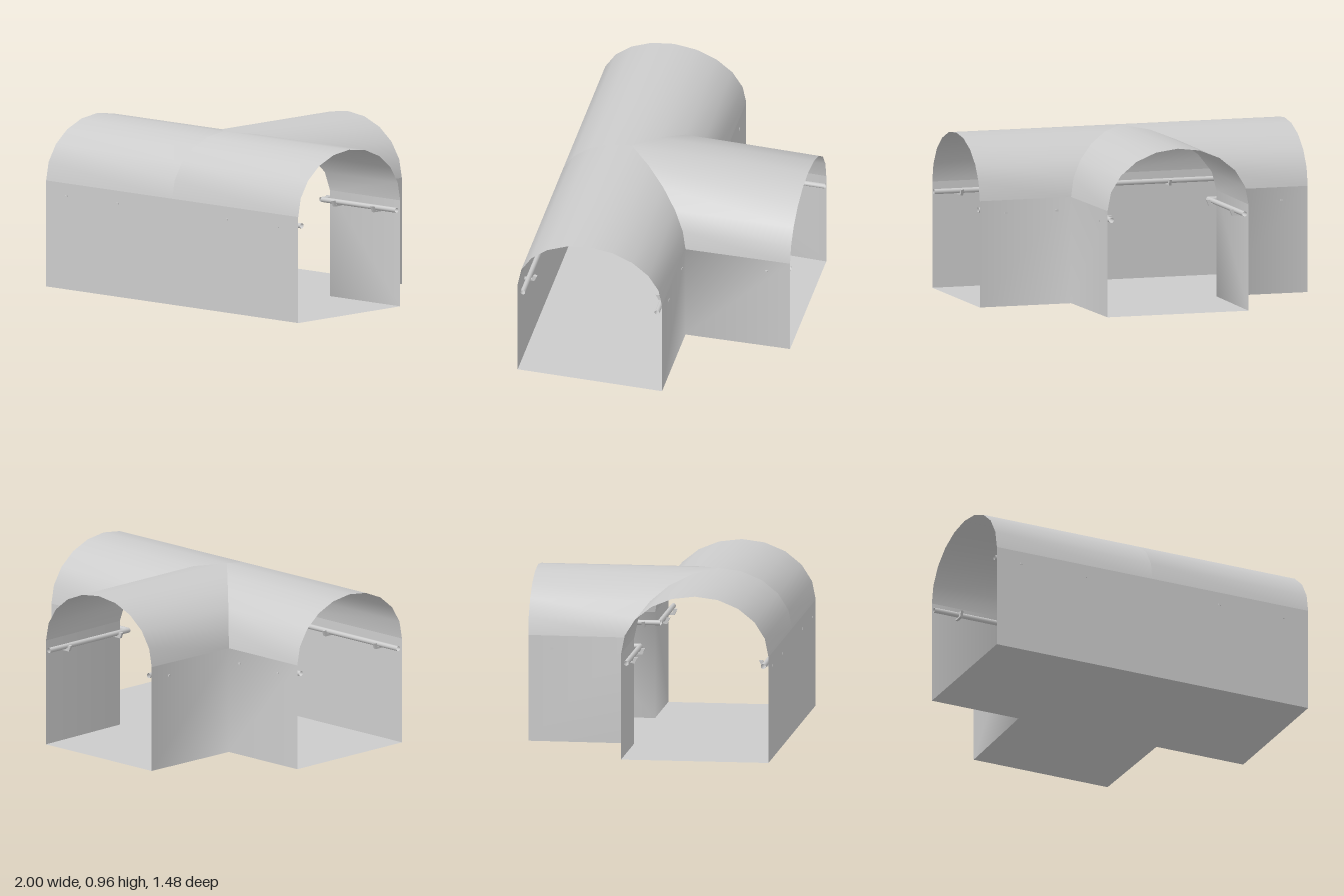
import * as THREE from 'three';

const R = 0.43;          // half width of both tunnels
const WALL = 0.62;       // height where the vault springs
const RISE = 0.345;      // vault height
const CZ = 0.31;         // centre line of the main tunnel
const BACK = CZ - R, FRONT = CZ + R, END = -0.74;
const NECK = 0.443;      // branch half width where it meets the main tunnel
const SEG = 10;

const mat = new THREE.MeshStandardMaterial({ color: 0xcccccc, side: THREE.DoubleSide });

function add(parent, name, geometry) {
  const m = new THREE.Mesh(geometry, mat);
  m.name = name;
  parent.add(m);
  return m;
}

// Ruled surface between two rows of points
function strip(a, b) {
  const index = [];
  const n = a.length;
  for (let i = 0; i < n - 1; i++) index.push(i, n + i, i + 1, i + 1, n + i, n + i + 1);
  const g = new THREE.BufferGeometry();
  g.setAttribute('position', new THREE.Float32BufferAttribute([...a, ...b].flat(), 3));
  g.setIndex(index);
  g.computeVertexNormals();
  return g;
}

// Pipe on hooked brackets: runs along x, wall at z = 0, room towards +z
function pipeRun(name, from, to, brackets) {
  const g = new THREE.Group();
  g.name = name;
  const pipe = new THREE.CylinderGeometry(0.015, 0.015, to - from, 10, 1, true);
  pipe.rotateZ(Math.PI / 2);
  add(g, 'pipe', pipe).position.set((from + to) / 2, 0.565, 0.03);

  const profile = [[-0.003, 0.54], [0.06, 0.54], [0.076, 0.575], [0.055, 0.575], [0.044, 0.55], [-0.003, 0.55]];
  const shape = new THREE.Shape(profile.map(p => new THREE.Vector2(...p)));
  const hook = new THREE.ExtrudeGeometry(shape, { depth: 0.016, bevelEnabled: false });
  hook.translate(0, 0, -0.008);
  hook.rotateY(-Math.PI / 2);
  for (const x of brackets) add(g, 'bracket', hook).position.x = x;
  return g;
}

export function createModel() {
  const model = new THREE.Group();
  model.name = 'tunnelJunction';

  const arc = Array.from({ length: SEG + 1 }, (_, i) => {
    const t = (i / SEG) * Math.PI;
    return { c: Math.cos(t), y: WALL + RISE * Math.sin(t) };
  });

  // Main vault in two halves, cut along the groin where the branch joins
  for (const s of [1, -1]) {
    const inner = arc.map(p => [s * NECK * Math.max(0, -p.c), p.y, CZ + R * p.c]);
    const outer = arc.map(p => [s, p.y, CZ + R * p.c]);
    add(model, 'mainVault', s > 0 ? strip(inner, outer) : strip(outer, inner));
  }

  // Branch vault, running into the main vault along the groin
  add(model, 'branchVault', strip(
    arc.map(p => [NECK * p.c, p.y, CZ - R * Math.abs(p.c)]),
    arc.map(p => [R * p.c, p.y, END])));

  // Front wall
  add(model, 'frontWall', strip([[-1, 0, FRONT], [-1, WALL, FRONT]], [[1, 0, FRONT], [1, WALL, FRONT]]));

  // Side walls of the branch, turning into the back walls
  const plan = [[R, END], [NECK, BACK], [1, BACK]];
  for (const s of [1, -1]) {
    const low = plan.map(([x, z]) => [s * x, 0, z]);
    const high = plan.map(([x, z]) => [s * x, WALL, z]);
    add(model, 'cornerWall', s > 0 ? strip(low, high) : strip(high, low));
  }

  // T-shaped floor
  const outline = [[-1, FRONT], [1, FRONT], [1, BACK], [NECK, BACK], [R, END], [-R, END], [-NECK, BACK], [-1, BACK]];
  const floor = new THREE.ShapeGeometry(new THREE.Shape(outline.map(([x, z]) => new THREE.Vector2(x, -z))));
  floor.rotateX(-Math.PI / 2);
  add(model, 'floor', floor);

  // Pipes along the walls
  const front = pipeRun('frontPipe', -1, 1, [-0.84, -0.43, 0.43, 0.84]);
  front.rotation.y = Math.PI;
  front.position.z = FRONT;
  model.add(front);
  for (const s of [1, -1]) {
    const span = (a, b) => (s > 0 ? [a, b] : [-b, -a]);
    const back = pipeRun('backPipe', ...span(0.41, 1), [s * 0.53, s * 0.84]);
    back.position.z = BACK;
    const side = pipeRun('branchPipe', ...span(END, -0.085), [s * -0.6, s * -0.18]);
    side.rotation.y = -s * Math.PI / 2;
    side.position.x = s * 0.436;
    model.add(back, side);
  }
  return model;
}
